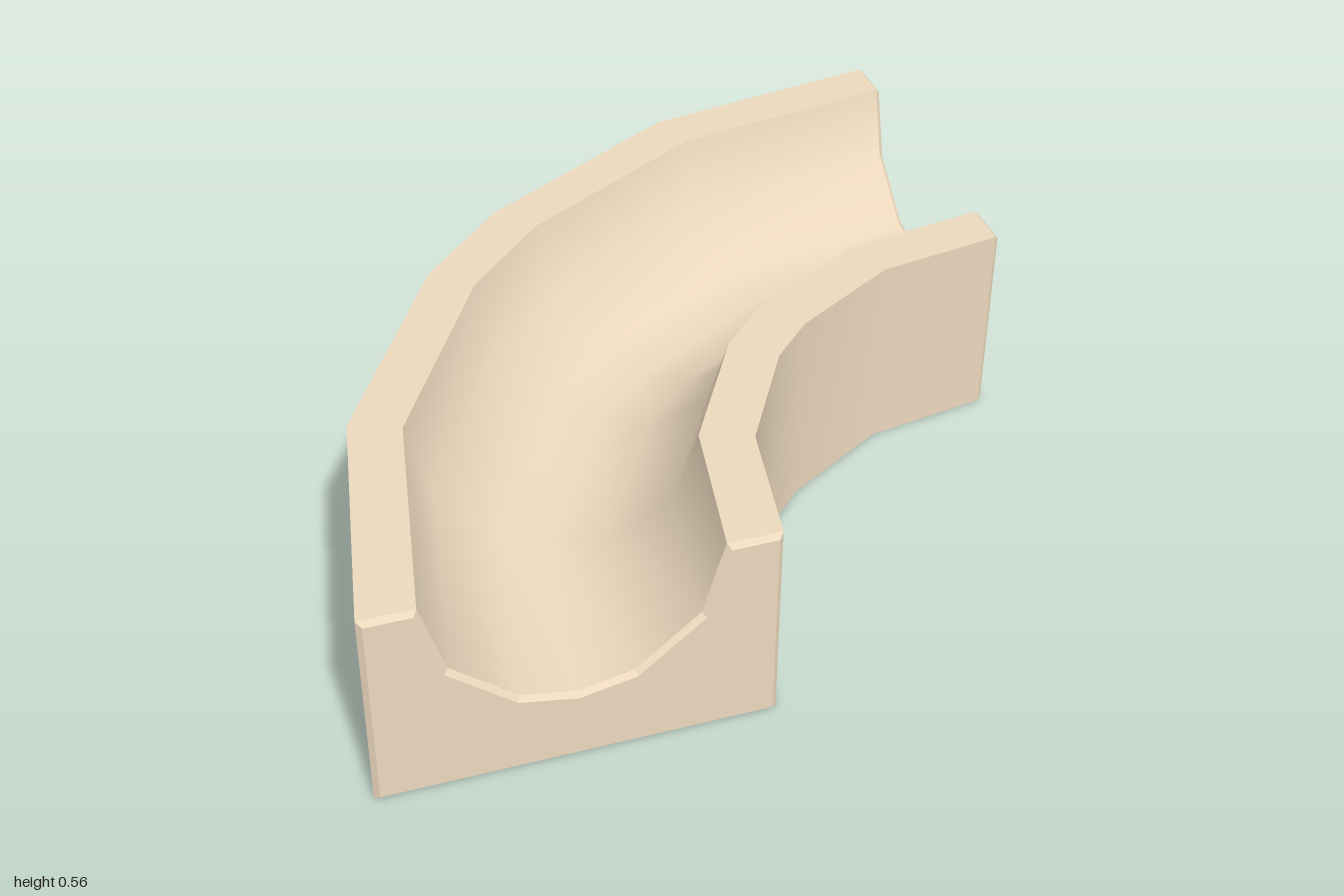
import * as THREE from 'three';
import { toCreasedNormals } from 'three/addons/utils/BufferGeometryUtils.js';

const BEVEL = 0.013;

// Track cross-section: t runs from outer wall (0) to inner wall (1), then height
const profile = [
  [0, 0], [1, 0], [1, 0.562], [0.862, 0.562], [0.803, 0.365], [0.64, 0.23], [0.5, 0.202],
  [0.36, 0.23], [0.197, 0.365], [0.138, 0.562], [0, 0.562],
].map(([t, y]) => new THREE.Vector2(t, y));

// Outer and inner wall corners along the quarter bend: [outerX, outerZ, innerX, innerZ]
const half = [
  [-1, 1 - BEVEL, 0, 1 - BEVEL],
  [-0.88, 0.295, 0.057, 0.635],
  [-0.54, -0.295, 0.228, 0.34],
];
// The second half swaps x and z
const mirrored = half.map(([ox, oz, ix, iz]) => [oz, ox, iz, ix]).reverse();
const stations = [...half, ...mirrored];

// Shrinks a counter-clockwise outline inward with mitred corners
function inset(points, d) {
  const n = points.length;
  return points.map((p, i) => {
    const a = p.clone().sub(points[(i + n - 1) % n]).normalize();
    const b = points[(i + 1) % n].clone().sub(p).normalize();
    const na = new THREE.Vector2(-a.y, a.x);
    const nb = new THREE.Vector2(-b.y, b.x);
    const m = na.clone().add(nb);
    return p.clone().add(m.multiplyScalar(d / (1 + na.dot(nb))));
  });
}

function ring([ox, oz, ix, iz], section) {
  return section.map((p) => new THREE.Vector3(ox + p.x * (ix - ox), p.y, oz + p.x * (iz - oz)));
}

function fromTriangles(points) {
  const geometry = new THREE.BufferGeometry().setFromPoints(points);
  geometry.computeVertexNormals();
  return geometry;
}

// Joins consecutive rings with quads
function loft(rings) {
  const out = [];
  for (let s = 0; s < rings.length - 1; s++) {
    const p = rings[s], q = rings[s + 1];
    p.forEach((a, i) => {
      const j = (i + 1) % p.length;
      out.push(a, q[i], q[j], a, q[j], p[j]);
    });
  }
  return fromTriangles(out);
}

function cap(points, section, flip) {
  const out = [];
  for (const [a, b, c] of THREE.ShapeUtils.triangulateShape(section, [])) {
    out.push(points[a], points[flip ? c : b], points[flip ? b : c]);
  }
  return fromTriangles(out);
}

export function createModel() {
  const group = new THREE.Group();
  group.name = 'curvedTrack';
  const material = new THREE.MeshStandardMaterial({ color: 0xebd8bd });
  const add = (name, geometry) => {
    const mesh = new THREE.Mesh(geometry, material);
    mesh.name = name;
    group.add(mesh);
  };

  // Bent body with the grooved channel
  const rings = stations.map((s) => ring(s, profile));
  add('trackBody', toCreasedNormals(loft(rings), 0.7));

  // Bevelled end faces
  const small = inset(profile, BEVEL);
  const frontEnd = ring([-1, 1, 0, 1], small);
  const sideEnd = ring([1, -1, 1, 0], small);
  add('frontEndBevel', loft([frontEnd, rings[0]]));
  add('sideEndBevel', loft([rings[rings.length - 1], sideEnd]));
  add('frontEndFace', cap(frontEnd, small, false));
  add('sideEndFace', cap(sideEnd, small, true));
  return group;
}
